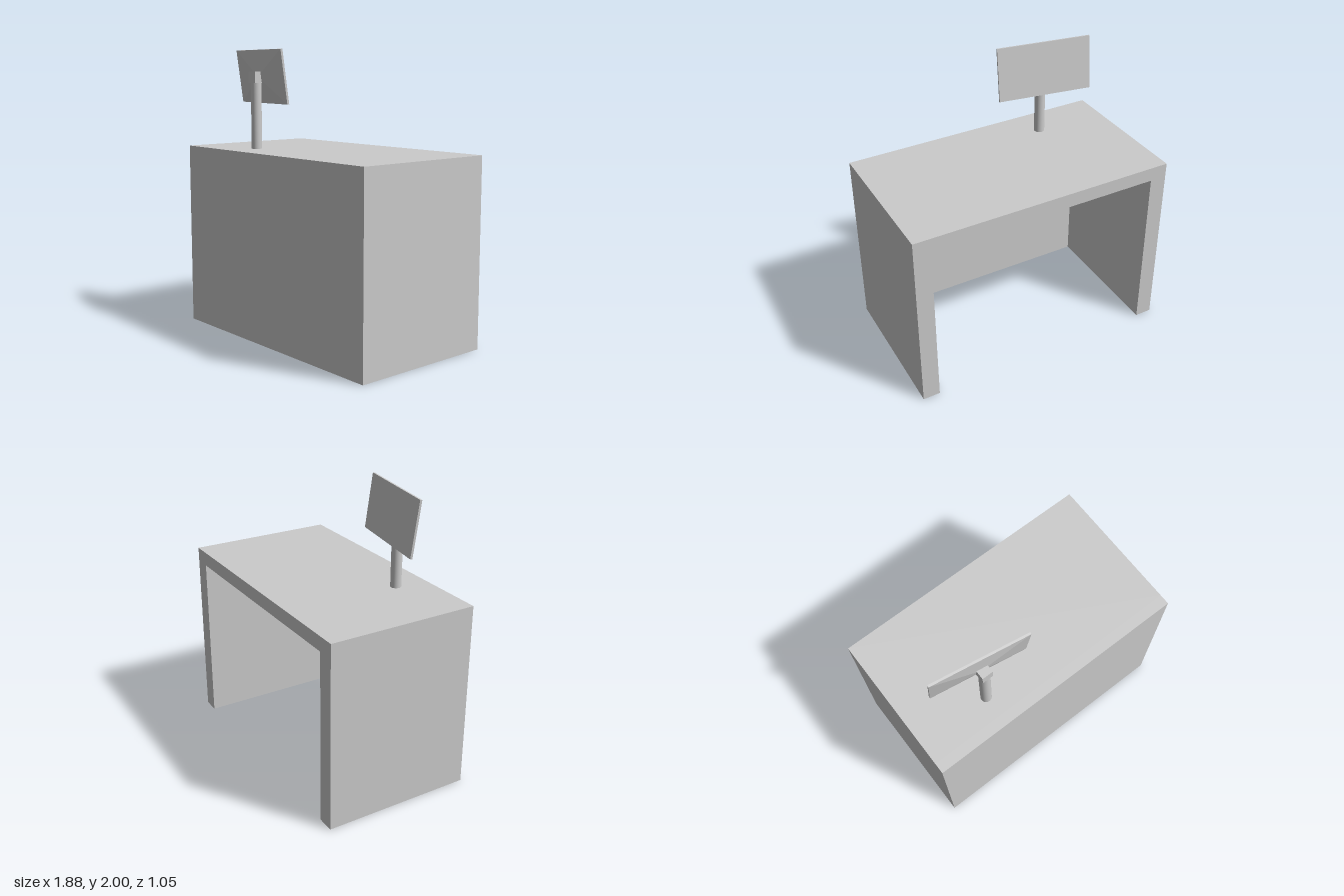
import * as THREE from 'three';

const material = new THREE.MeshStandardMaterial({ color: 0xcccccc });

function addPart(parent, name, geometry, x, y, z) {
  const mesh = new THREE.Mesh(geometry, material);
  mesh.name = name;
  mesh.position.set(x, y, z);
  parent.add(mesh);
  return mesh;
}

// Counter as one solid: front panel closed, open at the back and underneath
function createCounter() {
  const W = 0.94, H = 1.31, D = 0.525, side = 0.12, top = 0.1, front = 0.075;
  const counter = new THREE.Group();
  counter.name = 'counter';

  // Top and both sides as one U-shaped arch
  const arch = new THREE.Shape([
    [-W, 0], [-W + side, 0], [-W + side, H - top], [W - side, H - top],
    [W - side, 0], [W, 0], [W, H], [-W, H],
  ].map(([x, y]) => new THREE.Vector2(x, y)));
  const archDepth = 2 * D - front;
  addPart(counter, 'topAndSides',
    new THREE.ExtrudeGeometry(arch, { depth: archDepth, bevelEnabled: false }), 0, 0, -D);

  addPart(counter, 'frontPanel', new THREE.BoxGeometry(2 * W, H, front), 0, H / 2, D - front / 2);
  return counter;
}

// Monitor on a pole, its screen facing the back
function createMonitor() {
  const monitor = new THREE.Group();
  monitor.name = 'monitor';
  addPart(monitor, 'pole', new THREE.CylinderGeometry(0.037, 0.037, 0.47, 32), -0.42, 1.54, 0.295);
  addPart(monitor, 'mountBlock', new THREE.BoxGeometry(0.076, 0.08, 0.08), -0.42, 1.81, 0.293);

  // Turned and tilted panel
  const head = new THREE.Group();
  head.name = 'screenHead';
  head.position.set(-0.42, 1.815, 0.245);
  head.rotation.set(0.135, -0.157, 0, 'YXZ');
  monitor.add(head);
  const w = 0.67, h = 0.375, t = 0.015, bulge = 0.025;
  addPart(head, 'screen', new THREE.BoxGeometry(w, h, t), 0, 0, 0);

  // Shallow four-sided rear shell rising towards the mount
  const shell = new THREE.ConeGeometry(Math.SQRT1_2, bulge, 4, 1, true);
  shell.rotateY(Math.PI / 4).rotateX(Math.PI / 2).scale(w, h, 1);
  const flatShell = shell.toNonIndexed();
  flatShell.computeVertexNormals();
  addPart(head, 'rearShell', flatShell, 0, 0, t / 2 + bulge / 2);
  return monitor;
}

export function createModel() {
  const model = new THREE.Group();
  model.name = 'counterWithMonitor';
  model.add(createCounter(), createMonitor());
  return model;
}
